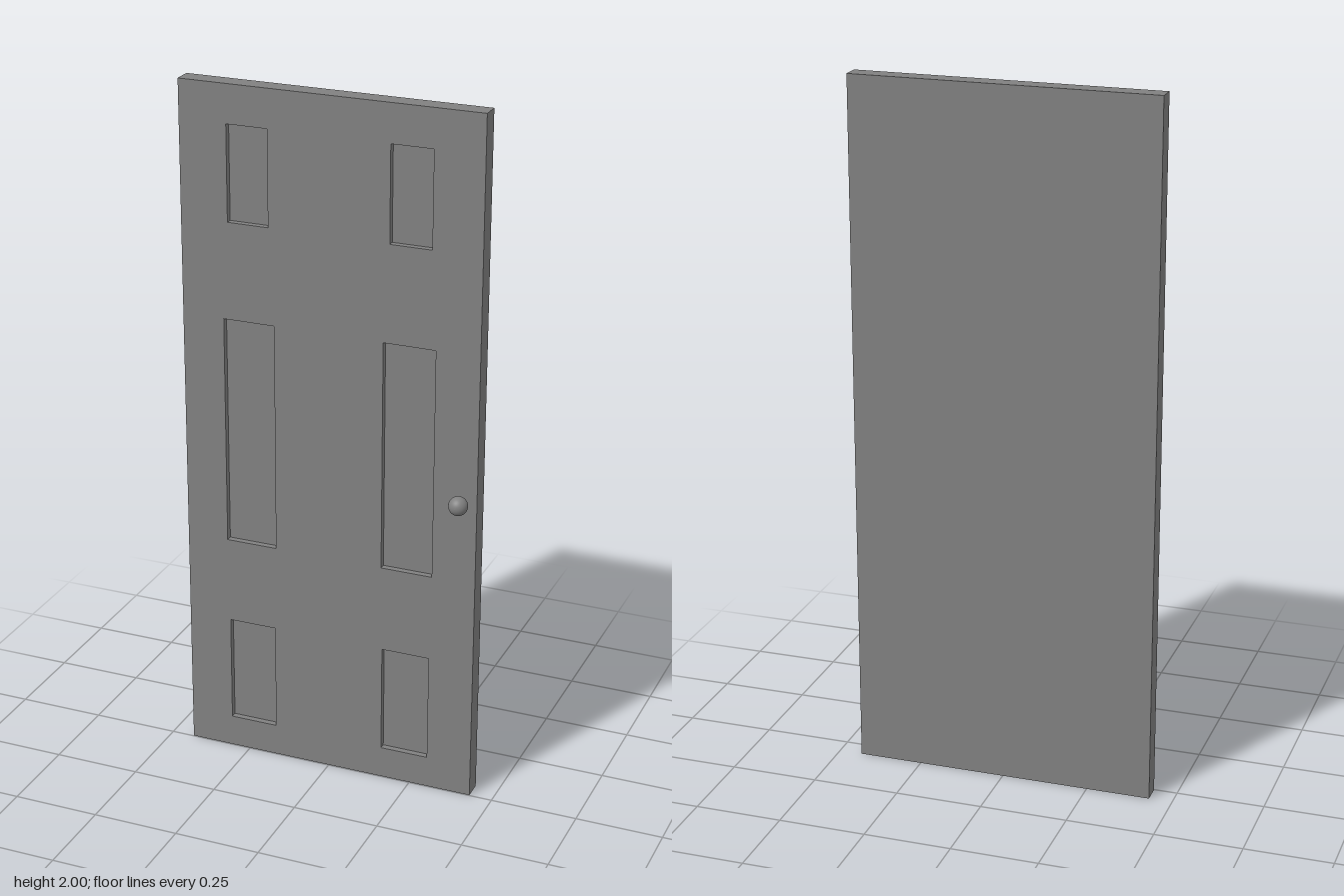
import * as THREE from 'three';

const W = 0.866, H = 2, BACK = -0.056, FRONT = -0.002, RECESS = 0.018;

// Recessed panels: [x min, x max, y min, y max]
const PANELS = [
  [-0.295, -0.176, 1.617, 1.89], [0.173, 0.292, 1.617, 1.89],
  [-0.311, -0.161, 0.668, 1.338], [0.157, 0.307, 0.668, 1.338],
  [-0.306, -0.166, 0.094, 0.413], [0.162, 0.302, 0.094, 0.413],
];

function rectangle(path, x0, x1, y0, y1) {
  path.moveTo(x0, y0);
  path.lineTo(x1, y0);
  path.lineTo(x1, y1);
  path.lineTo(x0, y1);
  path.closePath();
  return path;
}

export function createModel() {
  const grey = new THREE.MeshStandardMaterial({ color: 0x808080 });
  grey.name = 'grey';
  const door = new THREE.Group();
  door.name = 'door';

  function add(name, geometry, x, y, z) {
    const mesh = new THREE.Mesh(geometry, grey);
    mesh.name = name;
    mesh.position.set(x, y, z);
    door.add(mesh);
    return mesh;
  }

  // Solid back of the door, which forms the floor of the recesses
  const thickness = FRONT - RECESS - BACK;
  add('doorBack', new THREE.BoxGeometry(W, H, thickness), 0, H / 2, BACK + thickness / 2);

  // Front layer with six openings
  const face = rectangle(new THREE.Shape(), -W / 2, W / 2, 0, H);
  face.holes = PANELS.map((p) => rectangle(new THREE.Path(), ...p));
  const faceGeometry = new THREE.ExtrudeGeometry(face, { depth: RECESS, bevelEnabled: false });
  add('doorFace', faceGeometry, 0, 0, FRONT - RECESS);

  // Round knob with a short neck, turned about the z axis
  const R = 0.027, CENTRE = 0.031;
  const profile = [new THREE.Vector2(0.011, 0), new THREE.Vector2(0.011, 0.004)];
  for (let i = 0; i <= 16; i++) {
    const a = THREE.MathUtils.lerp(-1.08, Math.PI / 2, i / 16);
    profile.push(new THREE.Vector2(Math.max(0, R * Math.cos(a)), CENTRE + R * Math.sin(a)));
  }
  const knob = add('knob', new THREE.LatheGeometry(profile, 32), 0.39, 0.913, FRONT);
  knob.rotation.x = Math.PI / 2;

  return door;
}
